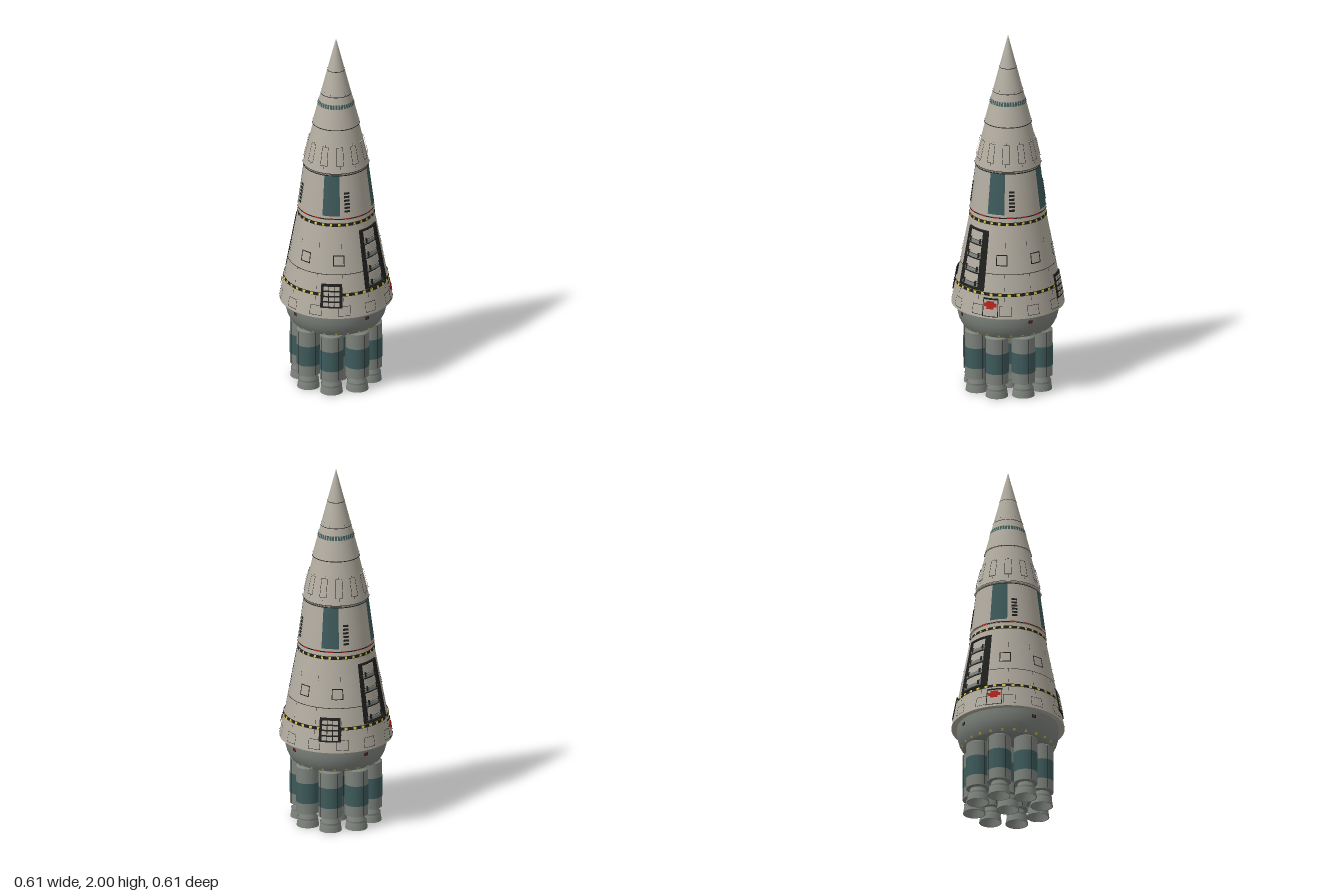
import * as THREE from 'three';
import { mergeGeometries } from 'three/addons/utils/BufferGeometryUtils.js';

const mat = (name, color, side = THREE.DoubleSide) => {
  const m = new THREE.MeshStandardMaterial({ color, side });
  m.name = name;
  return m;
};
const V = (r, y) => new THREE.Vector2(r, y);
const RAD = Math.PI / 180;

// Conical hull sections: [bottom y, bottom radius, top y, top radius]
const SKIRT = [0.48, 0.305, 0.61, 0.281];
const MAIN = [0.61, 0.277, 1.02, 0.2];
const MID = [1.02, 0.205, 1.27, 0.172];
const SHOULDER = [1.275, 0.178, 1.51, 0.122];
const NOSE = [1.51, 0.127, 2.0, 0];
const radius = ([y0, r0, y1, r1], y) => r0 + (r1 - r0) * (y - y0) / (y1 - y0);

// Surface patch on a section, centred on angle a (degrees from +z towards +x)
function patch(s, y0, y1, a = 0, w = 360, off = 0.002) {
  return new THREE.LatheGeometry(
    [V(radius(s, y0) + off, y0), V(radius(s, y1) + off, y1)],
    Math.max(1, Math.ceil(w / 5)), (a - w / 2) * RAD, w * RAD);
}
// Raised block: a patch with its lower and upper edges closed
function block(s, y0, y1, a, w, h) {
  const lo = radius(s, y0), hi = radius(s, y1);
  const n = Math.max(1, Math.ceil(w / 5));
  const edge = (p, q) => new THREE.LatheGeometry([p, q], n, (a - w / 2) * RAD, w * RAD);
  return [patch(s, y0, y1, a, w, h), edge(V(lo, y0), V(lo + h, y0)), edge(V(hi + h, y1), V(hi, y1))];
}
// Thin rectangular outline
function outline(s, y0, y1, a, w, t = 0.004, off = 0.003) {
  const d = t / radius(s, (y0 + y1) / 2) / RAD;
  return [
    patch(s, y0, y0 + t, a, w, off), patch(s, y1 - t, y1, a, w, off),
    patch(s, y0, y1, a - w / 2 + d / 2, d, off), patch(s, y0, y1, a + w / 2 - d / 2, d, off)];
}
// n copies around the axis
const around = (n, fn, start = 0) =>
  Array.from({ length: n }, (_, i) => fn(start + i * 360 / n)).flat();

export function createModel() {
  const hull = mat('hull grey', 0xb2aca0);
  const steel = mat('dark grey', 0x7d827c);
  const teal = mat('teal', 0x3e5a5b);
  const black = mat('black', 0x1f1f1e);
  const yellow = mat('yellow', 0xd6c53c);
  const red = mat('red', 0xb3221c);

  const rocket = new THREE.Group();
  rocket.name = 'rocket';
  const add = (name, material, geos, parent = rocket) => {
    const mesh = new THREE.Mesh(mergeGeometries([geos].flat()), material);
    mesh.name = name;
    parent.add(mesh);
    return mesh;
  };
  const lathe = (pts, n = 64) => new THREE.LatheGeometry(pts.map(p => V(...p)), n);

  // Hull cones, each with its flat underside
  const cone = ([y0, r0, y1, r1], inner) => [lathe([[inner, y0], [r0, y0]]), lathe([[r0, y0], [r1, y1]])];
  add('skirt', hull, [...cone(SKIRT, 0.2), lathe([[0.281, 0.61], [0.27, 0.61]])]);
  add('mainHull', hull, cone(MAIN, 0.2));
  add('midHull', hull, cone(MID, 0.15));
  add('shoulder', hull, [...cone(SHOULDER, 0.12), lathe([[0.172, 1.268], [0.178, 1.275]])]);
  add('noseCone', hull, cone(NOSE, 0.05));

  // Rounded collar above the engines
  add('collar', steel, [
    lathe([[0.24, 0.355], [0.25, 0.37], [0.263, 0.395], [0.271, 0.425], [0.274, 0.455], [0.274, 0.482]]),
    lathe([[0, 0.347], [0.225, 0.347]]), lathe([[0.225, 0.347], [0.24, 0.355]])]);
  const COLLAR = [0.355, 0.241, 0.37, 0.251];
  add('collarLights', yellow, around(24, a => patch(COLLAR, 0.358, 0.369, a, 3), 7.5));
  const PORT = [0.43, 0.273, 0.46, 0.275];
  add('collarPorts', black, around(4, a => patch(PORT, 0.437, 0.455, a, 5), 45));
  add('collarPortLamps', red, around(4, a => patch(PORT, 0.442, 0.45, a, 2.6, 0.004), 45));

  // Hazard belts
  for (const [s, y, n] of [[SKIRT, 0.602, 36], [MAIN, 0.981, 30]]) {
    add('hazardBelt', black, patch(s, y, y + 0.017));
    add('hazardBeltMarks', yellow, around(n, a => patch(s, y + 0.002, y + 0.015, a, 3.6, 0.0035)));
  }
  add('collarStripe', black, patch(MID, 1.02, 1.026));
  add('collarStripeMarks', red, around(16, a => patch(MID, 1.02, 1.028, a, 10, 0.0035)));

  // Ring and upright panel seams
  add('panelSeams', black, [
    patch(NOSE, 1.819, 1.822), patch(NOSE, 1.684, 1.687), patch(NOSE, 1.51, 1.514),
    patch(MAIN, 0.718, 0.721), patch(MID, 1.263, 1.268), patch(SHOULDER, 1.277, 1.28),
    ...around(12, a => [
      patch(NOSE, 1.69, 1.71, a, 0.8), patch(MAIN, 0.63, 0.65, a, 0.5),
      patch(MAIN, 0.7, 0.718, a, 0.5), patch(MAIN, 0.86, 0.89, a, 0.5),
      patch(SHOULDER, 1.3, 1.33, a, 0.6), patch(SHOULDER, 1.4, 1.43, a, 0.6),
      patch(SKIRT, 0.575, 0.6, a, 0.5)], 15)]);
  add('skirtPanels', black, around(12, a => outline(SKIRT, 0.495, 0.55, a, 13, 0.0022), 16));

  // Dashed band on the nose
  add('noseBand', teal, around(40, a => patch(NOSE, 1.622, 1.645, a, 6.5)));

  // Raised hatches on the shoulder
  add('shoulderHatches', hull, around(12, a => block(SHOULDER, 1.32, 1.42, a, 13, 0.006), 15));
  add('shoulderHatchEdges', black, around(12, a => outline(SHOULDER, 1.319, 1.421, a, 13.5, 0.0022, 0.007), 15));

  // Four coloured panels and louvres on the mid hull
  add('midPanels', teal, around(4, a => patch(MID, 1.04, 1.264, a, 27)));
  add('louvres', black, around(4, a =>
    [0, 1, 2, 3, 4, 5].flatMap(i => block(MID, 1.06 + i * 0.02, 1.07 + i * 0.02, a, 9, 0.004)), 25));

  // Square hatches on the main hull, left out where the bays sit
  add('squareHatches', black, [11, -34, -79].flatMap(a =>
    [a, a + 180].flatMap(b => outline(MAIN, 0.765, 0.825, b, 14.5, 0.005))));

  // Tall equipment bays, on opposite sides
  for (const a of [61.5, 241.5]) {
    const bay = new THREE.Group();
    bay.name = 'equipmentBay';
    rocket.add(bay);
    const rows = [0, 1, 2, 3].map(i => 0.637 + i * 0.076);
    add('bayBack', black, patch(MAIN, 0.622, 0.945, a, 39, 0.002), bay);
    add('bayFrame', black, [
      ...block(MAIN, 0.622, 0.945, a - 17.5, 4, 0.009), ...block(MAIN, 0.622, 0.945, a + 16, 7, 0.009),
      ...block(MAIN, 0.935, 0.945, a, 39, 0.009), ...block(MAIN, 0.622, 0.63, a, 39, 0.009)], bay);
    add('bayCells', hull, rows.flatMap(y => block(MAIN, y + 0.02, y + 0.066, a - 1.5, 23, 0.005)), bay);
    add('bayShelves', steel, rows.flatMap(y => block(MAIN, y, y + 0.016, a - 1.5, 25, 0.008)), bay);
    add('bayClamps', black, rows.flatMap(y => [-10, 8].flatMap(d =>
      block(MAIN, y + 0.004, y + 0.03, a + d, 3, 0.011))), bay);
  }

  // Small grilles across the skirt belt, front and back
  for (const a of [2.5, 182.5]) {
    const grille = new THREE.Group();
    grille.name = 'skirtGrille';
    rocket.add(grille);
    add('grilleBack', black, block(SKIRT, 0.54, 0.67, a, 23.5, 0.006), grille);
    add('grilleCells', hull, [0, 1, 2, 3].flatMap(i => [-5, 1, 7].flatMap(d =>
      patch(SKIRT, 0.55 + i * 0.029, 0.571 + i * 0.029, a + d - 1, 5.2, 0.009))), grille);
  }

  // Red emblem-free markers in frames on both flanks
  for (const a of [90, 270]) {
    add('sideMarkerFrame', black, [...outline(SKIRT, 0.49, 0.59, a, 17), patch(SKIRT, 0.582, 0.592, a, 17, 0.004)]);
    add('sideMarker', red, [
      patch(SKIRT, 0.545, 0.565, a, 14, 0.006), patch(SKIRT, 0.533, 0.576, a, 8, 0.007)]);
  }

  // Engines: eight in a ring and one in the middle
  const R = 0.0635;
  const pod = [0.08, R, 0.34, R];
  const spots = around(8, a => [[0.187 * Math.sin(a * RAD), 0.187 * Math.cos(a * RAD)]]);
  for (const [x, z] of [...spots, [0, 0]]) {
    const engine = new THREE.Group();
    engine.name = 'engine';
    engine.position.set(x, 0, z);
    rocket.add(engine);
    add('engineBody', steel, [
      lathe([[R, 0.08], [R, 0.34]], 28), lathe([[R, 0.34], [0.05, 0.35]], 28),
      lathe([[0.03, 0.074], [R, 0.08]], 28)], engine);
    add('engineBand', teal, patch(pod, 0.14, 0.255, 0, 360, 0.0015), engine);
    add('engineSeams', black, [
      ...around(4, a => patch(pod, 0.085, 0.335, a, 2.5, 0.002), 45)], engine);
    add('nozzle', steel, [
      lathe([[0.061, 0], [0.058, 0.02], [0.054, 0.045], [0.046, 0.062], [0.042, 0.08]], 28),
      lathe([[0.036, 0.07], [0.046, 0.045], [0.052, 0.02], [0.056, 0]], 28),
      lathe([[0.056, 0], [0.061, 0]], 28), lathe([[0.0555, 0.04], [0.0565, 0.05]], 28)], engine);
    add('nozzleThroat', black, lathe([[0, 0.069], [0.038, 0.069]], 28), engine);
  }
  return rocket;
}
